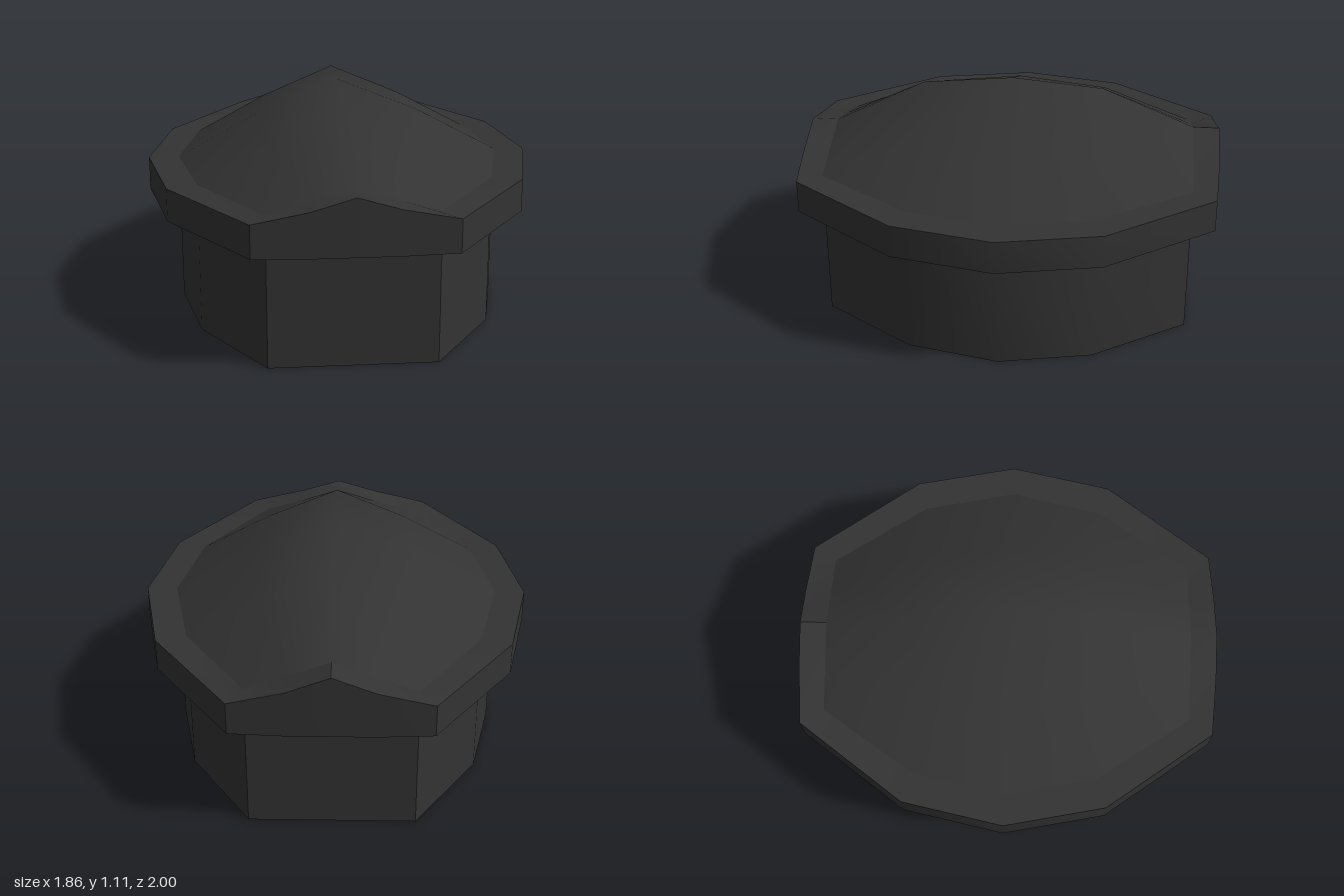
import * as THREE from 'three';
import { toCreasedNormals } from 'three/addons/utils/BufferGeometryUtils.js';

const BASE = 0, LIP = 0.575, EDGE = 0.735;

// Mirrors a quarter outline [x, z] (from +x to +z) into a closed ring of 16 points
function mirrorRing(quarter) {
  const half = [...quarter, ...quarter.slice(0, -1).reverse().map(([x, z]) => [-x, z])];
  return [...half, ...half.slice(1, -1).reverse().map(([x, z]) => [x, -z])];
}

const inner = mirrorRing([[0.785, 0], [0.69, 0.435], [0.39, 0.875], [0.2, 0.875], [0, 0.875]]);
const outer = mirrorRing([[0.93, 0], [0.83, 0.48], [0.46, 0.985], [0.2, 1], [0, 1]]);

// Height of the top edge: flat along the sides, a low gable at each end
const gable = { 3: 0.79, 4: 0.85, 5: 0.79, 11: 0.805, 12: 0.885, 13: 0.805 };
const flat = (ring, y) => ring.map(([x, z]) => [x, y, z]);
const gabled = (ring) => ring.map(([x, z], i) => [x, gable[i] ?? EDGE, z]);

// Joins successive rings with quads
function loft(rings, pos = []) {
  for (let r = 0; r < rings.length - 1; r++) {
    const a = rings[r], b = rings[r + 1], n = a.length;
    for (let i = 0; i < n; i++) {
      const j = (i + 1) % n;
      pos.push(...a[i], ...b[i], ...b[j], ...a[i], ...b[j], ...a[j]);
    }
  }
  return pos;
}

function makeMesh(name, pos, crease, material) {
  const geo = new THREE.BufferGeometry();
  geo.setAttribute('position', new THREE.Float32BufferAttribute(pos, 3));
  const mesh = new THREE.Mesh(toCreasedNormals(geo, crease), material);
  mesh.name = name;
  return mesh;
}

export function createModel() {
  const group = new THREE.Group();
  group.name = 'cap';
  const material = new THREE.MeshStandardMaterial({ color: 0x333333 });

  // Body: faceted oval prism with a closed bottom
  const bottom = flat(inner, BASE);
  const body = loft([bottom, flat(inner, LIP)]);
  bottom.forEach((p, i) => body.push(0, BASE, 0, ...p, ...bottom[(i + 1) % bottom.length]));
  group.add(makeMesh('body', body, 0.6, material));

  // Rim: overhanging band, raised to a gable at the front and back
  const rim = loft([flat(inner, LIP), flat(outer, LIP), gabled(outer), gabled(inner)]);
  group.add(makeMesh('rim', rim, 0.6, material));

  // Dome: rows of [z, corner x, middle x, middle height, ridge height]
  const rows = [
    [-0.875, 0.39, 0.2, 0.805, 0.885],
    [-0.435, 0.69, 0.35, 0.92, 1.07],
    [0, 0.785, 0.39, 0.95, 1.11],
    [0.435, 0.69, 0.35, 0.92, 1.07],
    [0.875, 0.39, 0.2, 0.79, 0.85],
  ].map(([z, x, mx, my, top]) =>
    [[-x, EDGE, z], [-mx, my, z], [0, top, z], [mx, my, z], [x, EDGE, z]]);
  const dome = [];
  for (let r = 0; r < 4; r++) {
    for (let c = 0; c < 4; c++) {
      const p = rows[r][c], px = rows[r][c + 1];
      const pz = rows[r + 1][c], pzx = rows[r + 1][c + 1];
      // Mirror the diagonals so that both halves match
      if ((r < 2) === (c < 2)) dome.push(...p, ...pz, ...pzx, ...p, ...pzx, ...px);
      else dome.push(...p, ...pz, ...px, ...pz, ...pzx, ...px);
    }
  }
  group.add(makeMesh('dome', dome, 0.95, material));

  return group;
}
